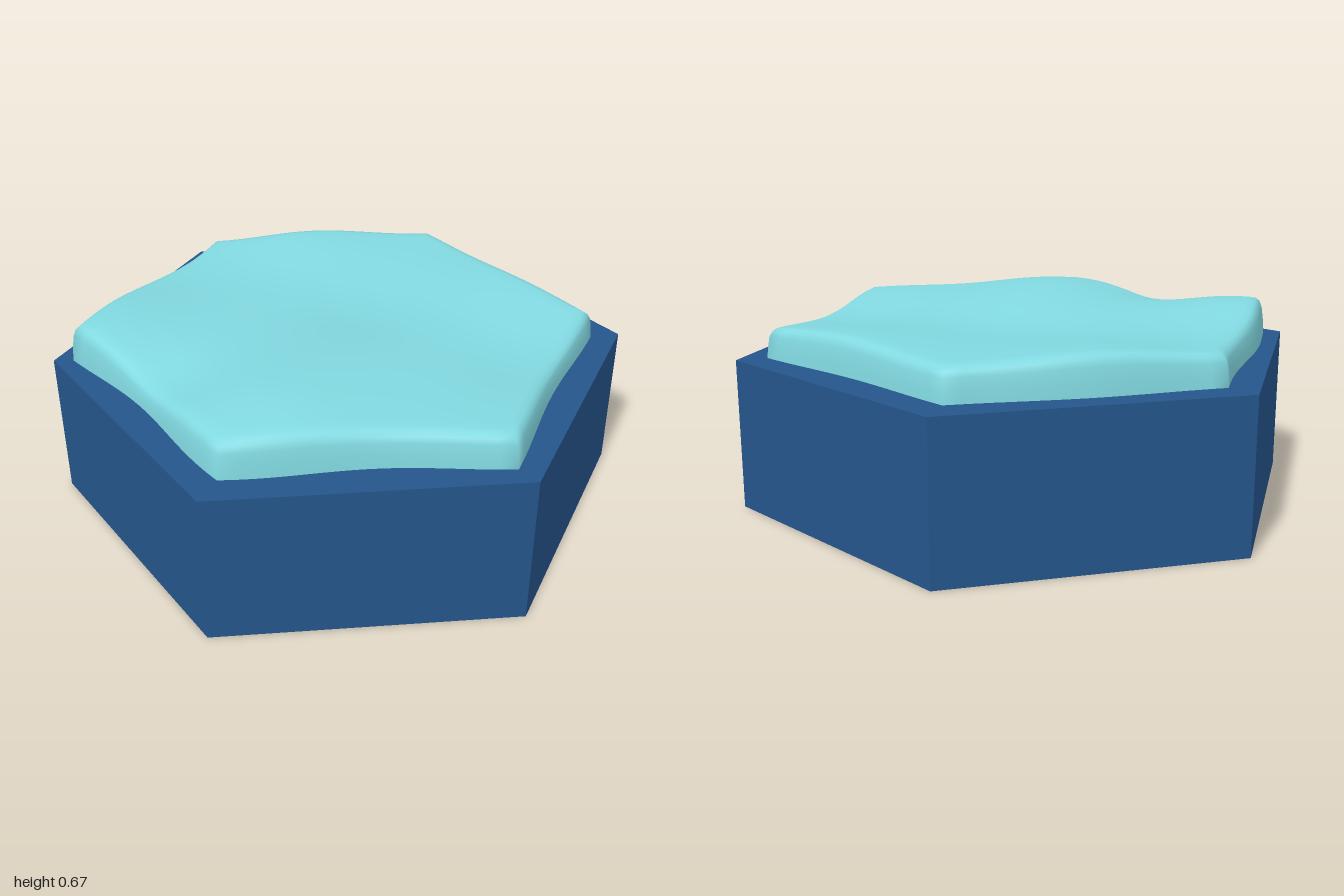
import * as THREE from 'three';

const BASE_TOP = 0.52;

// Corners of the wavy slab (x, z), then bow and sway of the edge that follows
const CORNERS = [
  [0, 0.885, -0.03, 0.005],
  [0.79, 0.465, -0.02, 0],
  [0.78, -0.44, -0.018, 0],
  [0, -0.87, 0.02, 0],
  [-0.77, -0.44, 0.01, -0.01],
  [-0.805, 0.47, -0.028, -0.008],
];

// Gentle swells and dips: x, z, height, radius
const SWELLS = [
  [0.05, 0.6, 0.034, 0.27],
  [-0.75, 0.35, 0.034, 0.3],
  [-0.4, 0.66, -0.032, 0.2],
  [0.1, 0.27, 0.02, 0.3],
  [0.6, 0.45, 0.008, 0.25],
  [-0.6, -0.2, -0.012, 0.28],
  [0, -0.18, -0.022, 0.3],
  [0.65, -0.08, -0.026, 0.28],
  [-0.4, -0.6, 0.024, 0.28],
  [0.45, -0.55, 0.018, 0.28],
];

function surfaceHeight(x, z) {
  return SWELLS.reduce((y, [cx, cz, h, r]) =>
    y + h * Math.exp(-((x - cx) ** 2 + (z - cz) ** 2) / (r * r)), 0.627);
}

// Closed outline running from the front corner round through +x
function slabOutline(steps) {
  const points = [];
  CORNERS.forEach(([x, z, bow, sway], i) => {
    const [nx, nz] = CORNERS[(i + 1) % CORNERS.length];
    const length = Math.hypot(nx - x, nz - z);
    for (let s = 0; s < steps; s++) {
      const t = s / steps;
      const out = bow * Math.sin(Math.PI * t) ** 2 + sway * Math.sin(2 * Math.PI * t);
      points.push([
        x + (nx - x) * t - (nz - z) / length * out,
        z + (nz - z) * t + (nx - x) / length * out,
      ]);
    }
  });
  return points;
}

function slabGeometry() {
  const outline = slabOutline(16);
  const n = outline.length;
  // Each ring: outline scale, fraction of the local height, drop below it
  const rings = [[1, 0, 0], [0.996, 0.35, 0], [0.988, 0.7, 0], [0.977, 1, 0.016], [0.96, 1, 0.005], [0.93, 1, 0]];
  for (let i = 1; i < 20; i++) rings.push([0.93 * (1 - i / 20), 1, 0]);

  const positions = [];
  const indices = [];
  for (const [scale, rise, drop] of rings) {
    for (const [ox, oz] of outline) {
      const x = ox * scale, z = oz * scale;
      positions.push(x, BASE_TOP + (surfaceHeight(x, z) - BASE_TOP) * rise - drop, z);
    }
  }
  const centre = positions.length / 3;
  positions.push(0, surfaceHeight(0, 0), 0);

  for (let r = 0; r < rings.length; r++) {
    for (let i = 0; i < n; i++) {
      const a = r * n + i, b = r * n + (i + 1) % n;
      if (r === rings.length - 1) indices.push(a, b, centre);
      else indices.push(a, b, b + n, a, b + n, a + n);
    }
  }
  const geometry = new THREE.BufferGeometry();
  geometry.setAttribute('position', new THREE.Float32BufferAttribute(positions, 3));
  geometry.setIndex(indices);
  geometry.computeVertexNormals();
  return geometry;
}

export function createModel() {
  const deepBlue = new THREE.MeshStandardMaterial({ color: 0x25568c });
  deepBlue.name = 'deep blue';
  deepBlue.flatShading = true;
  const paleTeal = new THREE.MeshStandardMaterial({ color: 0x82d9e1 });
  paleTeal.name = 'pale teal';

  const model = new THREE.Group();
  model.name = 'waterTile';

  // Hexagonal base with corners at the front and back
  const base = new THREE.Mesh(new THREE.CylinderGeometry(1, 1, BASE_TOP, 6), deepBlue);
  base.name = 'hexagonBase';
  base.position.y = BASE_TOP / 2;

  // Rippled slab resting on the base
  const slab = new THREE.Mesh(slabGeometry(), paleTeal);
  slab.name = 'waterSurface';

  model.add(base, slab);
  return model;
}
